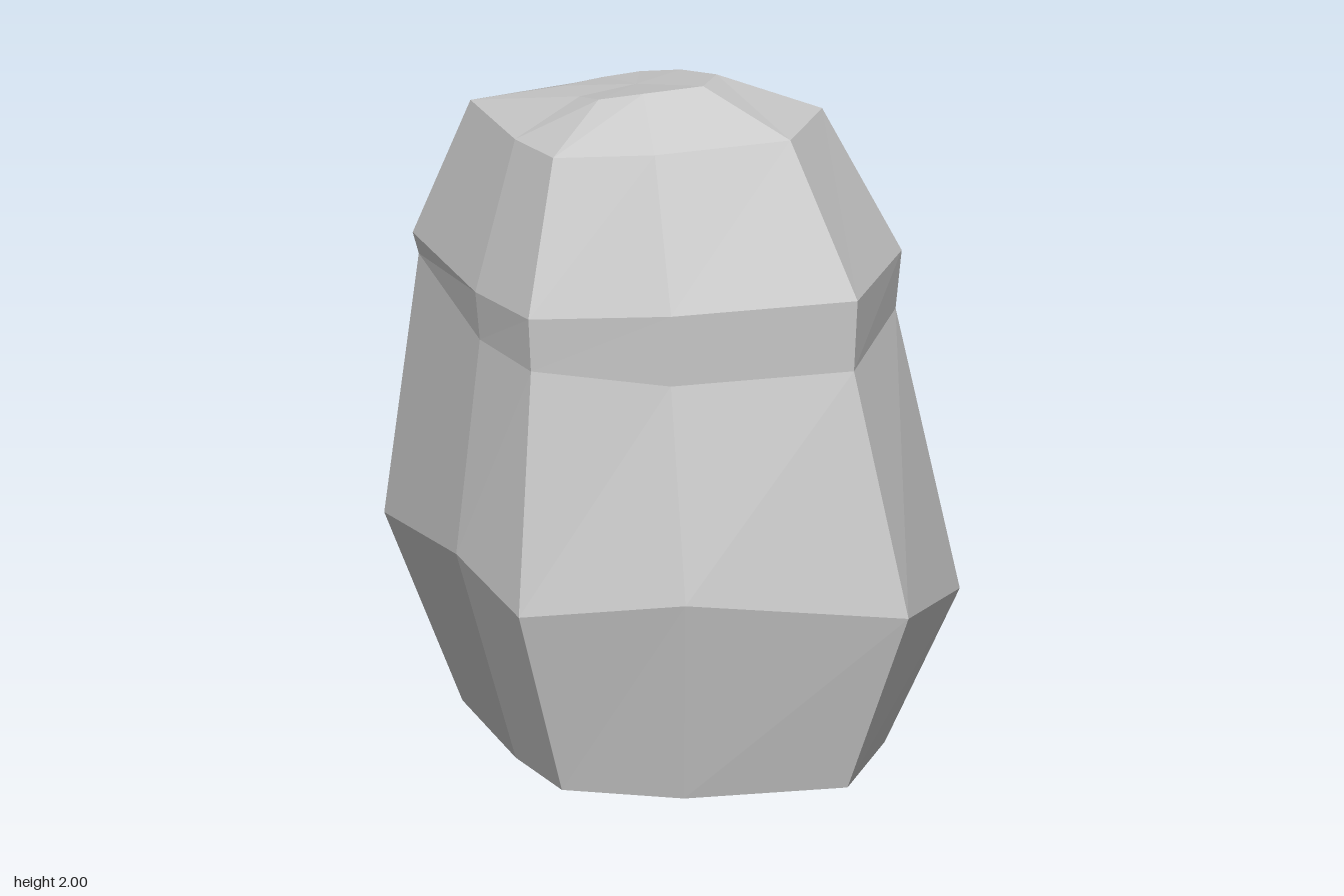
import * as THREE from 'three';

// Nine-sided cross-sections, counterclockwise from the left corner: [x, y, z]
const belly = [
  [-0.85, 0.52, 0.19], [-0.31, 0.63, 0.5], [0.04, 0.57, 0.633],
  [0.45, 0.64, 0.39], [0.845, 0.555, -0.11], [0.645, 0.46, -0.557],
  [0.06, 0.52, -0.635], [-0.365, 0.605, -0.53], [-0.635, 0.6, -0.28],
];
const ledge = [
  [-0.77, 1.38, 0.16], [-0.3, 1.405, 0.43], [-0.01, 1.43, 0.535],
  [0.335, 1.465, 0.32], [0.668, 1.475, -0.095], [0.5, 1.47, -0.475],
  [0, 1.435, -0.543], [-0.36, 1.395, -0.455], [-0.585, 1.38, -0.25],
];
const shoulder = [
  [-0.6, 1.81, 0.108], [-0.27, 1.835, 0.295], [-0.055, 1.86, 0.378],
  [0.195, 1.89, 0.23], [0.433, 1.905, -0.077], [0.315, 1.89, -0.347],
  [-0.04, 1.86, -0.397], [-0.3, 1.828, -0.333], [-0.46, 1.812, -0.18],
];
const crown = [
  [-0.32, 1.905, 0.035], [-0.19, 1.93, 0.11], [-0.08, 1.963, 0.155],
  [0.03, 1.99, 0.09], [0.135, 2, -0.045], [0.08, 1.985, -0.165],
  [-0.075, 1.951, -0.19], [-0.2, 1.922, -0.16], [-0.27, 1.91, -0.08],
];
// The base tapers in from the belly
const base = belly.map(([x, , z]) => [x * 0.735 + 0.022, 0, z * 0.73]);
// The waist sits just under the ledge: [scale, height] for each corner
const waistRule = [
  [0.975, 1.32], [0.975, 1.26], [0.98, 1.27], [0.98, 1.25], [0.982, 1.26],
  [0.975, 1.295], [0.98, 1.35], [0.998, 1.385], [0.985, 1.36],
];
const waist = ledge.map(([x, , z], i) => {
  const [scale, height] = waistRule[i];
  return [x * scale, height, z * scale];
});

function meshFrom(name, triangles, material) {
  const geometry = new THREE.BufferGeometry();
  geometry.setAttribute('position', new THREE.Float32BufferAttribute(triangles.flat(2), 3));
  geometry.computeVertexNormals();
  const mesh = new THREE.Mesh(geometry, material);
  mesh.name = name;
  return mesh;
}

// Facets joining a lower ring to an upper one
function band(lower, upper) {
  return lower.flatMap((a, i) => {
    const j = (i + 1) % lower.length;
    return [[a, lower[j], upper[j]], [a, upper[j], upper[i]]];
  });
}

// Fan closing a ring at its middle
function cap(ring, up) {
  const middle = [0, 1, 2].map((k) => ring.reduce((sum, p) => sum + p[k], 0) / ring.length);
  return ring.map((p, i) => {
    const q = ring[(i + 1) % ring.length];
    return up ? [middle, p, q] : [middle, q, p];
  });
}

export function createModel() {
  // Separate corners per facet keep the shading flat
  const stone = new THREE.MeshStandardMaterial({ color: 0xcacaca });
  stone.name = 'pale grey stone';

  const rock = new THREE.Group();
  rock.name = 'rock';
  rock.add(
    meshFrom('underside', cap(base, false), stone),
    meshFrom('lowerBody', band(base, belly), stone),
    meshFrom('middleBody', band(belly, waist), stone),
    meshFrom('ledge', band(waist, ledge), stone),
    meshFrom('upperBody', band(ledge, shoulder), stone),
    meshFrom('topSlope', band(shoulder, crown), stone),
    meshFrom('topCap', cap(crown, true), stone),
  );
  return rock;
}
